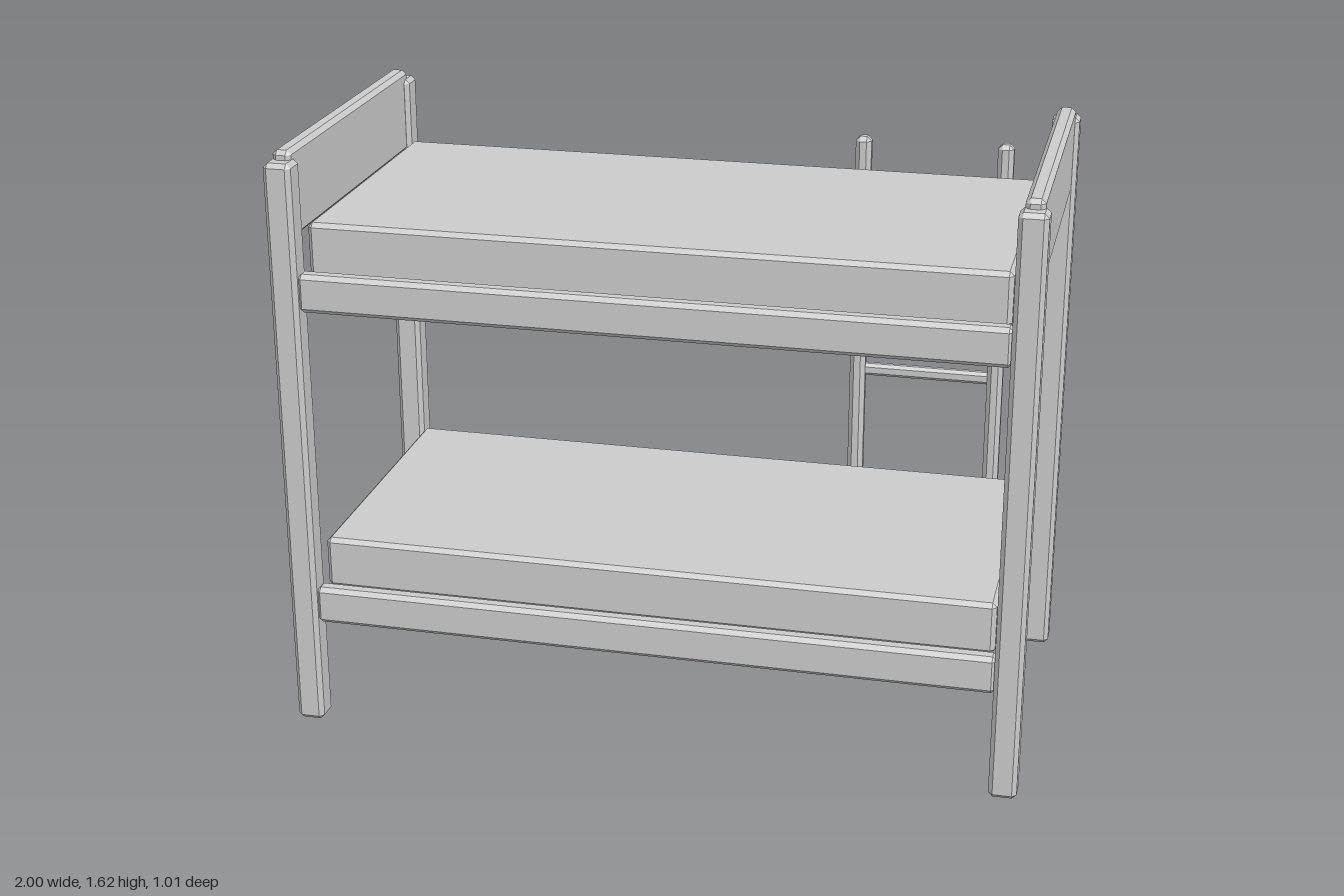
import * as THREE from 'three';
import { ConvexGeometry } from 'three/addons/geometries/ConvexGeometry.js';

const material = new THREE.MeshStandardMaterial({ color: 0xcccccc, flatShading: true });

// Box with every edge chamfered by b: the hull of its six inset faces
function chamferBox(w, h, d, b) {
  const points = [];
  for (const x of [-1, 1]) for (const y of [-1, 1]) for (const z of [-1, 1]) {
    const X = w / 2, Y = h / 2, Z = d / 2;
    points.push(
      new THREE.Vector3(x * X, y * (Y - b), z * (Z - b)),
      new THREE.Vector3(x * (X - b), y * Y, z * (Z - b)),
      new THREE.Vector3(x * (X - b), y * (Y - b), z * Z));
  }
  return new ConvexGeometry(points);
}

function addBox(parent, name, size, position, bevel) {
  const mesh = new THREE.Mesh(chamferBox(...size, bevel), material);
  mesh.name = name;
  mesh.position.set(...position);
  parent.add(mesh);
}

export function createModel() {
  const model = new THREE.Group();
  model.name = 'bunkBed';

  // Bed frame, shifted forward to balance the ladder at the back
  const frame = new THREE.Group();
  frame.name = 'bedFrame';
  frame.position.z = 0.0075;
  model.add(frame);

  for (const [sx, side] of [[1, 'left'], [-1, 'right']]) {
    // Corner posts
    for (const [sz, end] of [[1, 'Front'], [-1, 'Back']]) {
      addBox(frame, `${side}${end}Post`, [0.075, 1.6, 0.075], [sx * 0.9625, 0.8, sz * 0.46], 0.012);
    }
    // End board between the posts
    addBox(frame, `${side}EndBoard`, [0.05, 0.235, 0.915], [sx * 0.9625, 1.5075, 0], 0.012);
  }

  // Two bunks: side rails and mattress
  for (const [base, level] of [[0.3, 'lower'], [1.2, 'upper']]) {
    for (const [sz, end] of [[1, 'Front'], [-1, 'Back']]) {
      addBox(frame, `${level}${end}Rail`, [1.86, 0.105, 0.05], [0, base + 0.05, sz * 0.46], 0.012);
    }
    addBox(frame, `${level}Mattress`, [1.835, 0.145, 0.84], [0, base + 0.152, 0], 0.012);
  }

  // Ladder on the back
  const ladder = new THREE.Group();
  ladder.name = 'ladder';
  model.add(ladder);
  for (const x of [0.4, 0.8]) {
    addBox(ladder, 'ladderUpright', [0.045, 1.5, 0.045], [x, 0.75, -0.4825], 0.013);
  }
  for (const y of [0.4, 0.8, 1.2]) {
    addBox(ladder, 'ladderRung', [0.38, 0.036, 0.03], [0.6, y, -0.489], 0.009);
  }

  return model;
}
